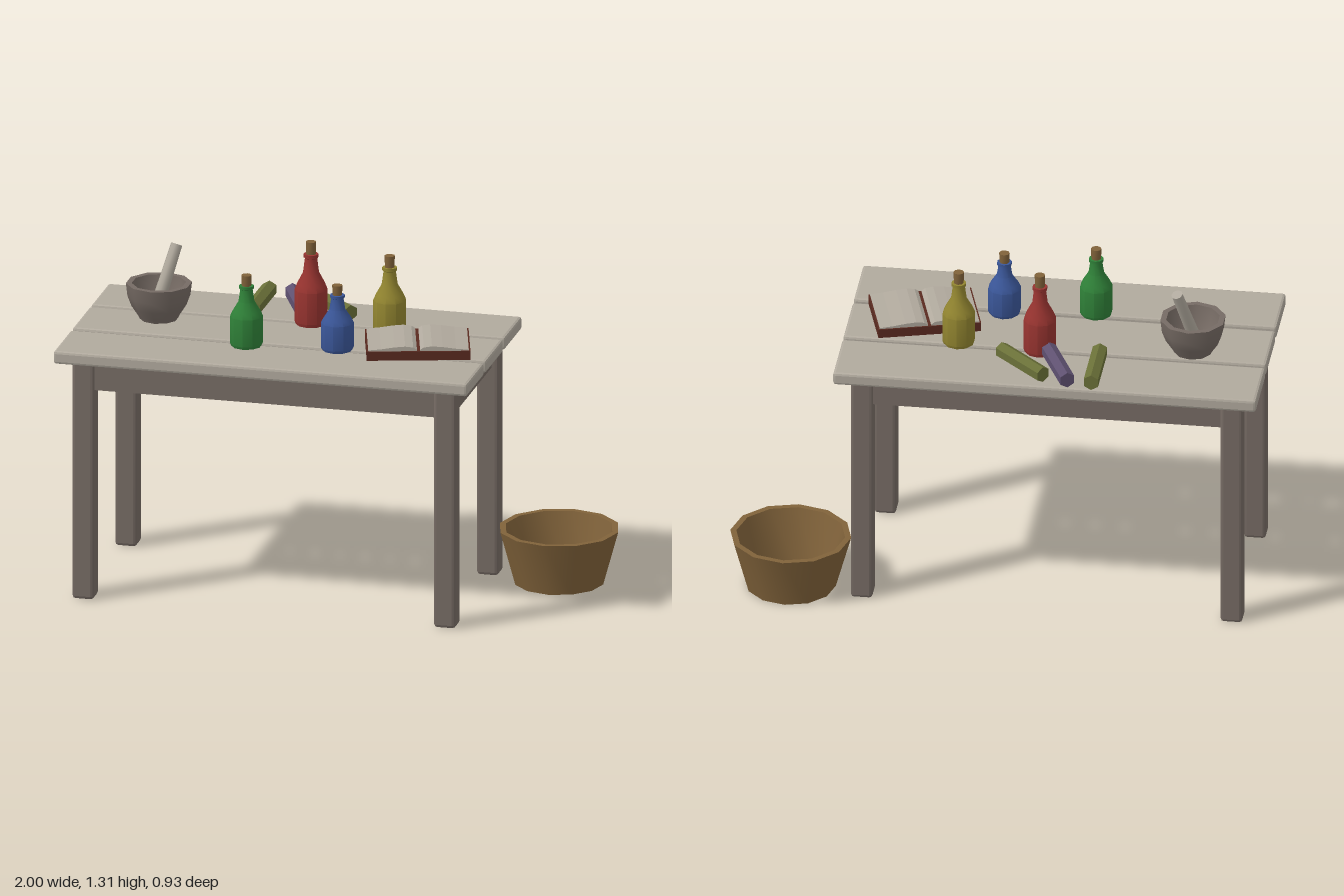
import * as THREE from 'three';
import { toCreasedNormals } from 'three/addons/utils/BufferGeometryUtils.js';
import { RoundedBoxGeometry } from 'three/addons/geometries/RoundedBoxGeometry.js';

const mat = (name, color) => {
  const m = new THREE.MeshStandardMaterial({ color });
  m.name = name;
  return m;
};

export function createModel() {
  const root = new THREE.Group();
  root.name = 'workTable';
  const paleWood = mat('paleWood', 0xb0a99d);
  const greyWood = mat('greyWood', 0x766b64);
  const brown = mat('wickerBrown', 0x80623a);
  const green = mat('greenGlass', 0x2f8038);
  const red = mat('redGlass', 0x983430);
  const blue = mat('blueGlass', 0x3a5698);
  const yellow = mat('yellowGlass', 0x928530);
  const olive = mat('oliveCloth', 0x6a7038);
  const purple = mat('purpleCloth', 0x5e5070);
  const leather = mat('darkLeather', 0x5a2a20);

  const add = (parent, name, geo, material, x = 0, y = 0, z = 0) => {
    const mesh = new THREE.Mesh(geo, material);
    mesh.name = name;
    mesh.position.set(x, y, z);
    parent.add(mesh);
    return mesh;
  };
  // Box with small flat chamfers
  const chamferBox = (w, h, d, r = 0.01) => toCreasedNormals(new RoundedBoxGeometry(w, h, d, 1, r), 0.3);
  const lathe = (points, sides) => toCreasedNormals(
    new THREE.LatheGeometry(points.map(([x, y]) => new THREE.Vector2(x, y)), sides), 0.7);

  // Table top: three planks with gaps
  const top = 0.985;
  for (const z of [-0.241, 0.043, 0.332]) {
    add(root, 'plank', chamferBox(1.595, 0.05, 0.266), paleWood, -0.2025, 0.96, z);
  }

  // Legs and the apron rails between them
  const legX = [-0.9, 0.495], legZ = [-0.278, 0.372];
  for (const x of legX) {
    for (const z of legZ) add(root, 'leg', chamferBox(0.082, 0.935, 0.085, 0.012), greyWood, x, 0.4675, z);
    add(root, 'sideRail', new THREE.BoxGeometry(0.035, 0.1, 0.6), greyWood, x, 0.87, 0.047);
  }
  for (const z of legZ) {
    add(root, 'longRail', new THREE.BoxGeometry(1.35, 0.1, 0.035), greyWood, -0.2025, 0.87, z);
  }

  // Bottomless tub on the floor
  add(root, 'basket', lathe([[0.15, 0], [0.17, 0], [0.228, 0.21], [0.205, 0.21], [0.15, 0]], 12),
    brown, 0.772, 0, -0.24);

  // Corked bottles: one profile stretched to different heights
  const bottles = [
    ['greenBottle', green, -0.318, 0.215, 0.277],
    ['redBottle', red, -0.148, -0.095, 0.323],
    ['blueBottle', blue, 0.023, 0.178, 0.253],
    ['yellowBottle', yellow, 0.161, -0.073, 0.3],
  ];
  for (const [name, material, x, z, h] of bottles) {
    const g = new THREE.Group();
    g.name = name;
    g.position.set(x, top, z);
    root.add(g);
    const profile = [[0, 0], [0.057, 0], [0.062, 0.04], [0.062, 0.42], [0.052, 0.5], [0.03, 0.63],
      [0.023, 0.8], [0.028, 0.81], [0.028, 0.85], [0, 0.85]];
    add(g, 'glass', lathe(profile.map(([r, y]) => [r, y * h]), 10), material);
    add(g, 'cork', toCreasedNormals(new THREE.CylinderGeometry(0.02, 0.018, 0.19 * h, 8), 0.9), brown, 0, 0.905 * h, 0);
  }

  // Mortar bowl and leaning pestle
  add(root, 'mortar', lathe([[0, 0], [0.072, 0], [0.078, 0.012], [0.103, 0.05], [0.118, 0.09], [0.124, 0.14],
    [0.102, 0.14], [0.094, 0.09], [0.07, 0.045], [0, 0.03]], 10), greyWood, -0.715, top, -0.018);
  const low = new THREE.Vector3(-0.722, 1.025, 0), high = new THREE.Vector3(-0.664, 1.258, -0.087);
  const dir = high.clone().sub(low);
  const pestle = add(root, 'pestle',
    toCreasedNormals(new THREE.CylinderGeometry(0.022, 0.026, dir.length(), 8), 0.9), paleWood);
  pestle.position.copy(low).add(high).multiplyScalar(0.5);
  pestle.quaternion.setFromUnitVectors(new THREE.Vector3(0, 1, 0), dir.normalize());

  // Open book: cover and two curved page blocks
  const book = new THREE.Group();
  book.name = 'openBook';
  book.position.set(0.313, top, 0.1);
  book.rotation.y = 0.276;
  root.add(book);
  add(book, 'cover', new THREE.BoxGeometry(0.388, 0.035, 0.272), leather, 0, 0.0175, 0);
  for (const s of [-1, 1]) {
    const page = new THREE.Shape([[0.006, 0.03], [0.188, 0.03], [0.188, 0.039], [0.14, 0.043], [0.09, 0.05],
      [0.05, 0.053], [0.02, 0.049], [0.006, 0.04]].map(([x, y]) => new THREE.Vector2(s * x, y)));
    const geo = new THREE.ExtrudeGeometry(page, { depth: 0.262, bevelEnabled: false });
    add(book, 'pages', geo.translate(0, 0, -0.131), paleWood);
  }

  // Six-sided rolls lying at the back: start x, z and end x, z
  const rolls = [
    ['oliveRoll', olive, -0.378, -0.37, -0.378, -0.12],
    ['purpleRoll', purple, -0.288, -0.362, -0.186, -0.135],
    ['oliveRoll', olive, -0.192, -0.332, -0.012, -0.162],
  ];
  for (const [name, material, x0, z0, x1, z1] of rolls) {
    const geo = new THREE.CylinderGeometry(0.031, 0.031, Math.hypot(x1 - x0, z1 - z0), 6).rotateX(Math.PI / 2);
    const roll = add(root, name, toCreasedNormals(geo, 0.3), material, (x0 + x1) / 2, top + 0.031, (z0 + z1) / 2);
    roll.rotation.y = Math.atan2(x1 - x0, z1 - z0);
  }
  return root;
}
